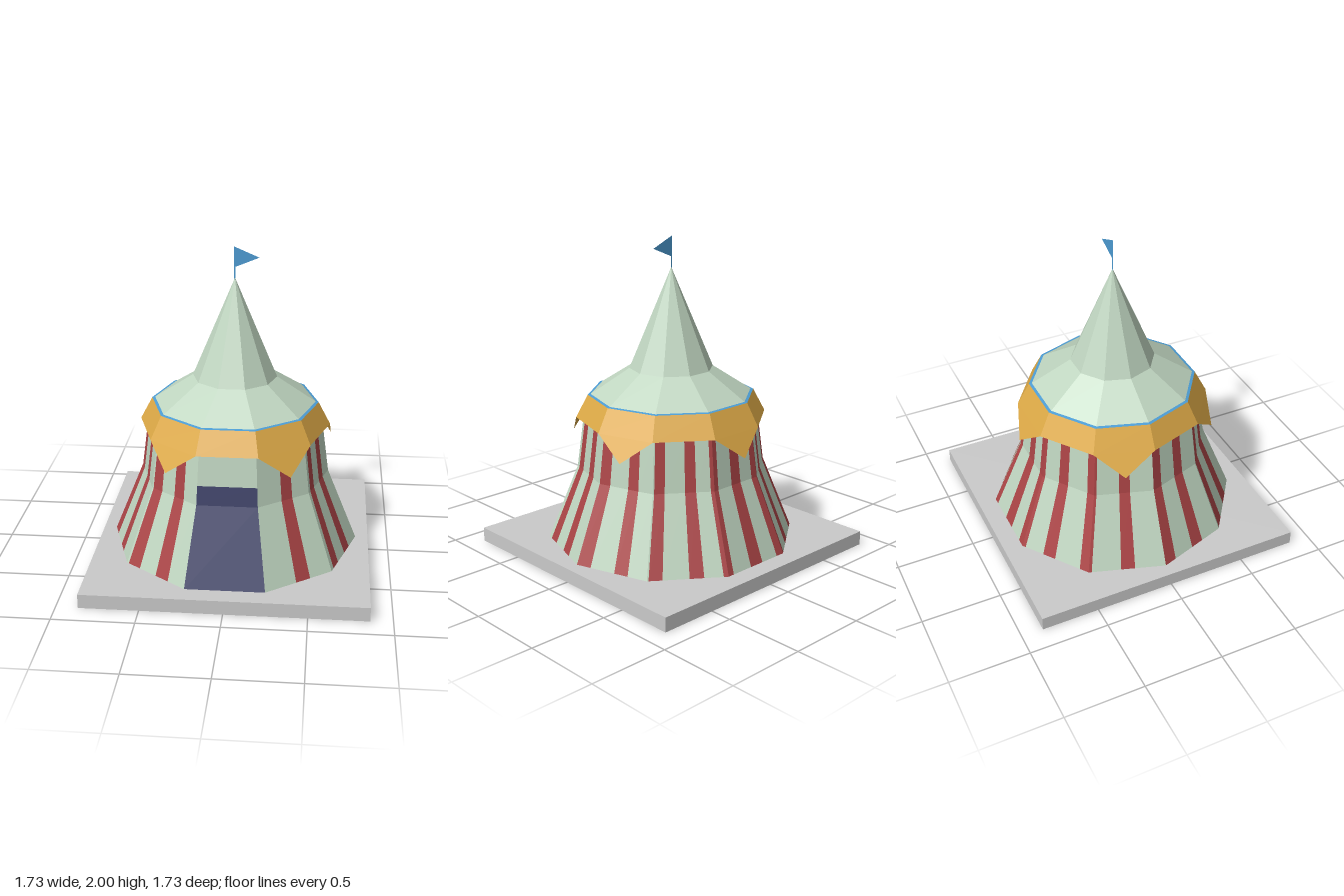
import * as THREE from 'three';

const SIDES = 10;

function material(name, color, double = true) {
  const m = new THREE.MeshStandardMaterial({ color, side: double ? THREE.DoubleSide : THREE.FrontSide });
  m.name = name;
  return m;
}

// Point on the ten-sided tent; u counts panels from the doorway's left edge, running to the back
function tentPoint(u, radius, y) {
  const corner = (k) => {
    const a = ((72 - 36 * k) * Math.PI) / 180;
    return new THREE.Vector3(Math.cos(a) * radius, y, Math.sin(a) * radius);
  };
  const k = Math.floor(u);
  return corner(k).lerp(corner(k + 1), u - k);
}

// Flat faces from a list of corner points, three per triangle
function faces(points) {
  const g = new THREE.BufferGeometry().setFromPoints(points);
  g.computeVertexNormals();
  return g;
}

// Surface through [radius, y] levels (bottom to top) over spans [u0, u1] of the tent
function skin(levels, spans) {
  const pts = [];
  for (const [u0, u1] of spans) {
    let a = u0;
    while (a < u1 - 1e-6) {
      const b = Math.min(u1, Math.floor(a + 1e-6) + 1); // break at every corner
      for (let i = 0; i < levels.length - 1; i++) {
        const [r0, y0] = levels[i];
        const [r1, y1] = levels[i + 1];
        const bEnd = b - 1e-7;
        const p = tentPoint(a, r0, y0), q = tentPoint(bEnd, r0, y0);
        const s = tentPoint(bEnd, r1, y1), t = tentPoint(a, r1, y1);
        if (r1 > 0) pts.push(p, q, s, p, s, t);
        else pts.push(p, q, s);
      }
      a = b;
    }
  }
  return faces(pts);
}

export function createModel() {
  const group = new THREE.Group();
  const mint = material('mintCanvas', 0xc0d6c1);
  const red = material('redCanvas', 0xab4446);
  const gold = material('goldCanvas', 0xdeaa47);
  const navy = material('navyDoor', 0x40446a);
  const blue = material('blueTrim', 0x4d9dd4);
  const grey = material('greyBase', 0xcacaca);

  const add = (name, geometry, mat) => {
    const mesh = new THREE.Mesh(geometry, mat);
    mesh.name = name;
    group.add(mesh);
  };
  const all = [[0, SIDES]];

  // Base slab, hollow underneath
  const slab = new THREE.BoxGeometry(1.73, 0.09, 1.73);
  const index = Array.from(slab.index.array);
  index.splice(18, 6); // leave out the bottom face
  slab.setIndex(index);
  slab.clearGroups();
  slab.translate(0, 0.045, 0);
  add('base', slab, grey);

  // Striped walls: red spans, with mint filling the gaps up to the doorway panel
  const wall = [[0.787, 0.086], [0.595, 0.56], [0.552, 0.88], [0.52, 1.02]];
  const redSpans = [
    [0.46, 0.67], [1.08, 1.26], [1.52, 1.71], [2.0, 2.2], [2.54, 2.73], [3.02, 3.19],
    [3.52, 3.7], [3.94, 4.09], [4.4, 4.61], [4.88, 5.05], [5.32, 5.5], [5.87, 6.04],
    [6.42, 6.6], [7.0, 7.18], [7.49, 7.68], [8.03, 8.23], [8.51, 8.72],
  ];
  const mintSpans = [];
  let from = 0;
  for (const [a, b] of redSpans) {
    if (a > from) mintSpans.push([from, a]);
    from = b;
  }
  mintSpans.push([from, 9]);
  add('wallStripes', skin(wall, redSpans), red);
  add('wallPanels', skin(wall, mintSpans), mint);

  // Doorway panel with canvas above the door
  const doorTop = [0.579, 0.68];
  add('door', skin([wall[0], wall[1], doorTop], [[9, 10]]), navy);
  add('panelAboveDoor', skin([doorTop, wall[2], wall[3]], [[9, 10]]), mint);

  // Valance: sloping band with a pointed flap on every other panel
  const hem = [0.598, 0.88];
  add('valance', skin([hem, [0.523, 1.022]], all), gold);
  const flaps = [];
  for (let k = 0; k < SIDES; k += 2) {
    const tip = tentPoint(k + 0.5, 0.637 / Math.cos(Math.PI / SIDES), 0.74);
    flaps.push(tentPoint(k, ...hem), tip, tentPoint(k + 1, ...hem));
  }
  add('valanceFlaps', faces(flaps), gold);

  // Trim ring around the eave
  add('eaveTrim', skin([[0.523, 1.022], [0.505, 1.026]], all), blue);

  // Two-slope pointed roof
  add('roof', skin([[0.508, 1.024], [0.262, 1.185], [0, 1.81]], all), mint);

  // Flat pole and pennant
  const flag = new THREE.Shape();
  flag.moveTo(-0.005, 1.79);
  flag.lineTo(0.003, 1.79);
  flag.lineTo(0.003, 1.876);
  flag.lineTo(0.147, 1.935);
  flag.lineTo(-0.005, 2);
  add('flag', new THREE.ShapeGeometry(flag), blue);

  return group;
}
